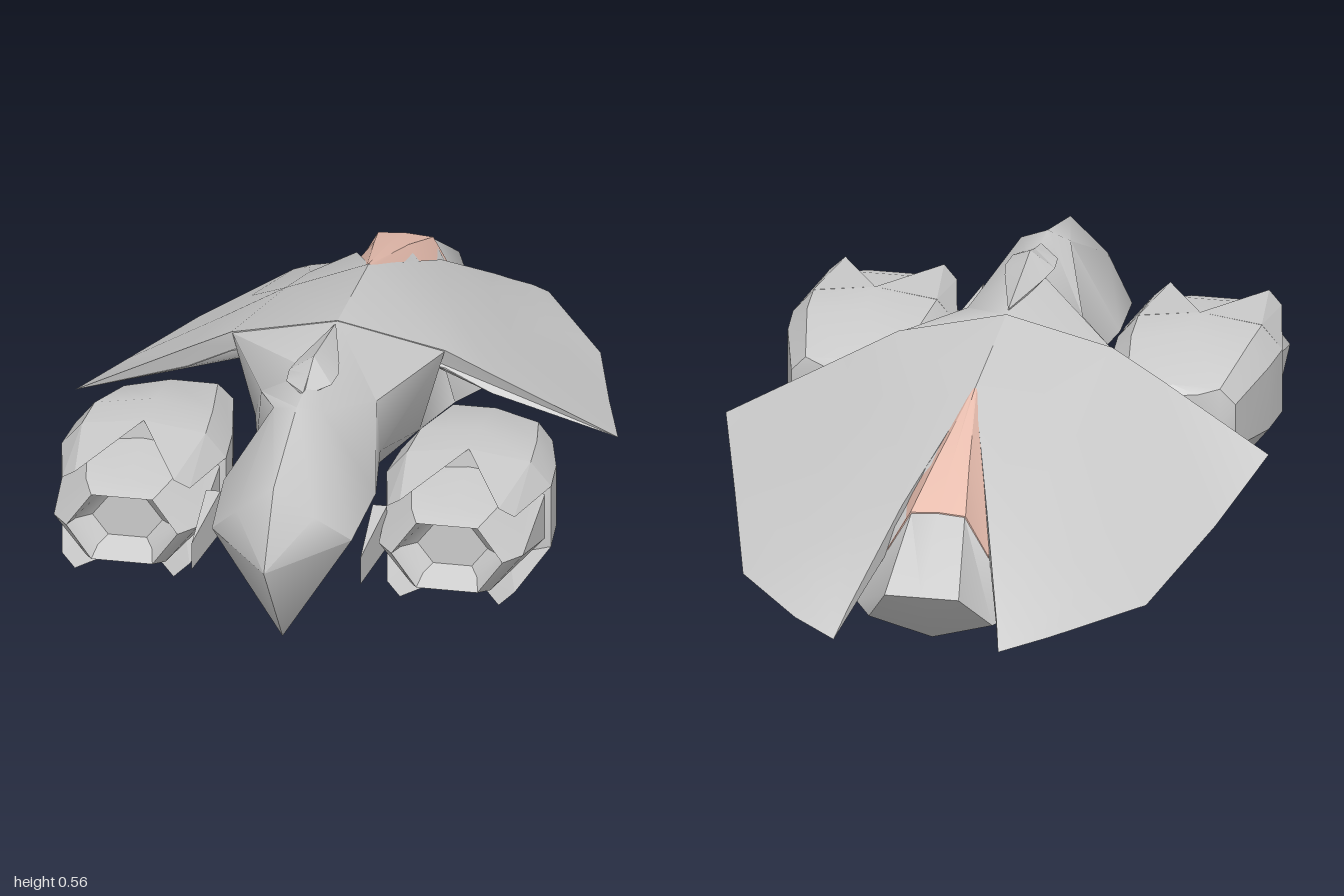
import * as THREE from 'three';
import { toCreasedNormals } from 'three/addons/utils/BufferGeometryUtils.js';
import { ConvexGeometry } from 'three/addons/geometries/ConvexGeometry.js';

const grey = new THREE.MeshStandardMaterial({ color: 0xcccccc, side: THREE.DoubleSide });
const pink = new THREE.MeshStandardMaterial({ color: 0xeabfb0 });

// Skin closed rings, ordered front to back, each clockwise seen from the front
function loft(rings, crease = 0.6) {
  const pos = [];
  const tri = (...pts) => {
    const [a, b, c] = pts.map((p) => new THREE.Vector3(...p));
    if (b.clone().sub(a).cross(c.clone().sub(a)).length() > 1e-7) pos.push(...pts.flat());
  };
  const n = rings[0].length;
  for (let i = 0; i < rings.length - 1; i++) {
    for (let j = 0; j < n; j++) {
      const k = (j + 1) % n, r = rings[i], s = rings[i + 1];
      tri(r[j], r[k], s[j]);
      tri(r[k], s[k], s[j]);
    }
  }
  const first = rings[0], last = rings[rings.length - 1];
  for (let j = 1; j < n - 1; j++) {
    tri(first[0], first[j + 1], first[j]);
    tri(last[0], last[j], last[j + 1]);
  }
  const geo = new THREE.BufferGeometry();
  geo.setAttribute('position', new THREE.Float32BufferAttribute(pos, 3));
  geo.computeVertexNormals();
  return toCreasedNormals(geo, crease);
}

const flip = ([x, y, z]) => [-x, y, z];
const mirrorRings = (rings) => rings.map((r) => r.map(flip).reverse());
// Half section (top centre ... bottom centre) to full ring
const full = (half) => [...half, ...half.slice(1, -1).reverse().map(flip)];
const convex = (pts) => new ConvexGeometry(pts.map((p) => new THREE.Vector3(...p)));

export function createModel() {
  const model = new THREE.Group();
  // The wings reach slightly further on the left, so the centreline sits at x = -0.008
  const add = (name, geo, mat = grey) => {
    const mesh = new THREE.Mesh(geo, mat);
    mesh.name = name;
    mesh.position.x = -0.008;
    model.add(mesh);
  };

  // Hull: top, shoulder, side, keel at each station
  const hull = [
    [[0, .28, 1], [0, .28, 1], [0, .28, 1], [0, .28, 1]],
    [[0, .45, .88], [.095, .37, .86], [.17, .28, .78], [0, .005, .77]],
    [[0, .53, .6], [.06, .515, .58], [.185, .3, .56], [0, .12, .6]],
    [[0, .53, .4], [.14, .43, .33], [.15, .3, .33], [0, .12, .33]],
    [[0, .518, .1], [.258, .457, .09], [.2, .25, .1], [0, .075, .11]],
    [[0, .49, -.1], [.2, .4, -.1], [.25, .24, -.08], [0, .1, -.08]],
    [[0, .475, -.28], [.03, .45, -.28], [.3, .19, -.3], [0, .05, -.3]],
    [[0, .41, -.56], [.04, .405, -.56], [.26, .12, -.56], [0, 0, -.56]],
    [[0, .35, -.73], [.065, .345, -.73], [.2, .11, -.73], [0, .04, -.73]],
    [[0, .215, -.93], [.09, .215, -.93], [.15, .11, -.82], [0, .06, -.8]],
  ];
  add('hull', loft(hull.map(full), 0.95));

  // Coloured canopy laid over the rear spine
  const canopy = [
    [[0, .488, -.28], [.004, .486, -.28], [.01, .48, -.28], [0, .46, -.28]],
    [[0, .413, -.56], [.042, .408, -.56], [.1, .331, -.56], [0, .28, -.56]],
    [[0, .353, -.73], [.067, .348, -.73], [.124, .246, -.73], [0, .22, -.73]],
  ];
  add('canopy', loft(canopy.map(full), 0.4), pink);

  // Wings: arched rows from inner edge to outer edge, thin underside
  const sag = [.05, .07, .06, .02, 0];
  const wing = (tip) => [
    [[0, .52, .1], [.26, .46, .09], [.37, .4, .075], [tip, .24, .03]],
    [[0, .487, -.28], [.2, .41, -.27], [.36, .31, -.28], [.585, .18, -.28]],
    [[.103, .33, -.65], [.22, .265, -.65], [.36, .19, -.65], [.49, .12, -.65]],
    [[.18, .17, -.92], [.22, .16, -.92], [.27, .15, -.92], [.31, .135, -.92]],
    [[.2, .12, -1], [.2, .12, -1], [.2, .12, -1], [.2, .12, -1]],
  ].map((row, i) => [
    ...row, ...row.slice(0, 3).reverse().map(([x, y, z]) => [x, y - sag[i], z]),
  ]);
  add('leftWing', loft(wing(.668), 0.7));
  add('rightWing', loft(mirrorRings(wing(.652)), 0.7));

  // Engines: shell blending into hexagonal, recessed ends
  const shell = [[0, 1], [.75, .87], [1, .5], [1, -.5], [.75, -.87],
    [0, -1], [-.75, -.87], [-1, -.5], [-1, .5], [-.75, .87]];
  const hex = [[0, 1], [.55, 1], [1, 0], [1, 0], [.55, -1],
    [0, -1], [-.55, -1], [-1, 0], [-1, 0], [-.55, 1]];
  // [section, z, half width, half height, skew]: skew pushes the outer side forward
  const stations = [
    [hex, .68, .085, .05, 0], [hex, .71, .12, .065, 0], [hex, .75, .135, .085, 0],
    [hex, .7, .175, .1, 0], [shell, .485, .185, .115, 0], [shell, .48, .2, .16, 0],
    [shell, .36, .19, .16, .04], [shell, .15, .145, .11, .25],
    [hex, .13, .11, .09, .25], [hex, .13, .08, .065, .25], [hex, .17, .07, .055, .25],
  ];
  const cx = .395, cy = .24;
  const engine = stations.map(([section, z, w, h, skew]) =>
    section.map(([u, v]) => [cx + u * w, cy + v * h, z + skew * u * w]));
  add('leftEngine', loft(engine, 0.5));
  add('rightEngine', loft(mirrorRings(engine), 0.5));

  for (const side of [1, -1]) {
    const label = side > 0 ? 'left' : 'right';
    // Thin forward pointing petals above and below each engine mouth
    for (const u of [1, -1]) {
      for (const v of [1, -1]) {
        const petal = [[0, .16, .48], [.15, .14, .48], [.2, .08, .48],
          [.12, .128, .72], [.155, .1, .7], [.1, .105, .49]];
        add(label + 'EnginePetal', convex(petal.map(([x, y, z]) =>
          [side * (cx + u * x), cy + v * y, z])));
      }
    }
    // Blade between engine and head
    const blade = [[.205, .2, .85], [.205, .27, .85], [.185, .18, .6], [.185, .29, .6],
      [.22, .18, .6], [.22, .29, .6]];
    add(label + 'Blade', convex(blade.map(([x, y, z]) => [side * x, y, z])));
  }

  // Dorsal pod: low ridged blister with a long tail, [z, half width, peak, base]
  const pod = [[.52, .002, .53, .52], [.45, .055, .545, .5], [.39, .06, .565, .5],
    [.33, .05, .555, .49], [.13, .002, .525, .51]];
  add('dorsalPod', loft(pod.map(([z, w, peak, base]) =>
    full([[0, peak, z], [w, .523, z], [0, base, z]])), 0.3));

  return model;
}
